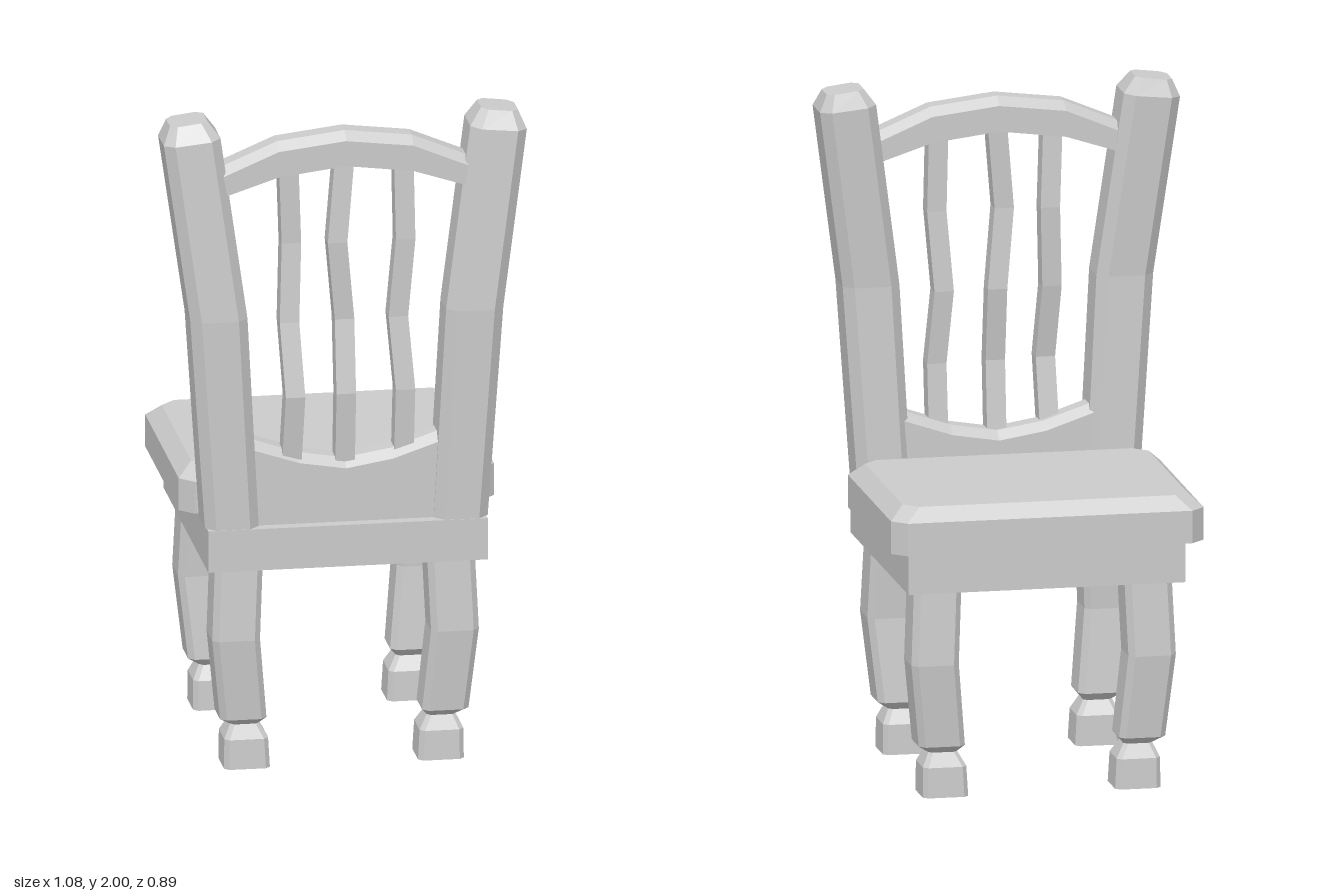
import * as THREE from 'three';

const wood = new THREE.MeshStandardMaterial({ color: 0xcccccc, flatShading: true });
const woodOpen = new THREE.MeshStandardMaterial({ color: 0xcccccc, flatShading: true, side: THREE.DoubleSide });

// Skin a stack of equal-sized rings; the ends are closed with fans
function loft(rings, closeStart = true) {
  const pos = [];
  const tri = (a, b, c) => pos.push(...a, ...b, ...c);
  const n = rings[0].length;
  for (let k = 0; k < rings.length - 1; k++) {
    const p = rings[k], q = rings[k + 1];
    for (let i = 0; i < n; i++) {
      const j = (i + 1) % n;
      tri(p[i], p[j], q[j]);
      tri(p[i], q[j], q[i]);
    }
  }
  const first = rings[0], last = rings[rings.length - 1];
  for (let i = 1; i < n - 1; i++) {
    if (closeStart) first && tri(first[0], first[i + 1], first[i]);
    tri(last[0], last[i], last[i + 1]);
  }
  const g = new THREE.BufferGeometry();
  g.setAttribute('position', new THREE.Float32BufferAttribute(pos, 3));
  g.computeVertexNormals();
  return g;
}

// Horizontal rectangle with cut corners; slope tips the ring along x
function octagon(cx, y, cz, hx, hz, c, slope = 0) {
  const a = hx - c, b = hz - c;
  return [[hx, -b], [hx, b], [a, hz], [-a, hz], [-hx, b], [-hx, -b], [-a, -hz], [a, -hz]]
    .map(([u, v]) => [cx + u, y + slope * u, cz - v]);
}

function rectangle(cx, y, cz, hx, hz) {
  return [[hx, -hz], [hx, hz], [-hx, hz], [-hx, -hz]].map(([u, v]) => [cx + u, y, cz - v]);
}

// Rail running along x, with its two upper edges bevelled
function rail(stations) {
  return loft(stations.map(([x, low, high]) => [
    [x, low, 0.29], [x, high - 0.025, 0.29], [x, high, 0.32],
    [x, high, 0.375], [x, high - 0.025, 0.405], [x, low, 0.405],
  ]));
}

export function createModel() {
  const group = new THREE.Group();
  const add = (name, geometry, material = wood) => {
    const mesh = new THREE.Mesh(geometry, material);
    mesh.name = name;
    group.add(mesh);
  };

  // Apron: a box left open underneath
  add('apron', loft([
    rectangle(0, 0.63, 0.02, 0.415, 0.42),
    rectangle(0, 0.757, 0.02, 0.415, 0.42),
  ], false), woodOpen);

  // Seat with cut corners and a bevelled top edge
  const sz = -0.092;
  add('seat', loft([
    octagon(0, 0.757, sz, 0.468, 0.355, 0.042),
    octagon(0, 0.855, sz, 0.468, 0.355, 0.042),
    octagon(0, 0.895, sz, 0.425, 0.314, 0.042),
  ]));

  // Four bowed legs with a narrow ankle: height, offset in x, offset in z, half width, corner cut
  const legProfile = [
    [0, 0.288, 0.29, 0.068, 0.014],
    [0.09, 0.29, 0.29, 0.065, 0.014],
    [0.132, 0.292, 0.292, 0.043, 0.012],
    [0.155, 0.3, 0.298, 0.069, 0.018],
    [0.405, 0.325, 0.32, 0.071, 0.018],
    [0.635, 0.315, 0.308, 0.071, 0.018],
  ];
  for (const sx of [1, -1]) {
    for (const sign of [1, -1]) {
      const name = (sx > 0 ? 'left' : 'right') + (sign > 0 ? 'BackrestLeg' : 'SeatLeg');
      add(name, loft(legProfile.map(([y, x, z, h, c]) =>
        octagon(sx * x, y, 0.02 + sign * z, h, h, c))));
    }
  }

  // Backrest posts, leaning outwards, with bevelled tops
  for (const s of [1, -1]) {
    add(s > 0 ? 'leftPost' : 'rightPost', loft([
      octagon(s * 0.34, 0.757, 0.352, 0.08, 0.086, 0.03),
      octagon(s * 0.38, 1.4, 0.364, 0.085, 0.083, 0.03),
      octagon(s * 0.455, 1.942, 0.335, 0.084, 0.085, 0.03, -s * 0.1),
      octagon(s * 0.462, 1.992, 0.327, 0.055, 0.057, 0.02, -s * 0.12),
    ]));
  }

  // Arched top rail and dipped lower panel
  add('topRail', rail([
    [-0.39, 1.763, 1.848], [-0.2, 1.825, 1.928], [0, 1.85, 1.952],
    [0.2, 1.825, 1.928], [0.39, 1.763, 1.848],
  ]));
  add('lowerPanel', rail([
    [-0.3, 0.757, 1.022], [-0.14, 0.757, 0.968], [0, 0.757, 0.945],
    [0.14, 0.757, 0.968], [0.3, 0.757, 1.022],
  ]));

  // Three wavy slats: centre x and z at each height
  const heights = [0.92, 1.15, 1.37, 1.61, 1.87];
  const slats = {
    rightSlat: [[-0.16, 0.36], [-0.153, 0.393], [-0.165, 0.355], [-0.157, 0.34], [-0.167, 0.35]],
    middleSlat: [[0, 0.355], [0, 0.378], [0, 0.345], [-0.023, 0.36], [0, 0.35]],
    leftSlat: [[0.175, 0.35], [0.178, 0.365], [0.16, 0.345], [0.18, 0.355], [0.175, 0.35]],
  };
  for (const [name, path] of Object.entries(slats)) {
    add(name, loft(path.map(([x, z], i) => rectangle(x, heights[i], z, 0.029, 0.03))));
  }

  return group;
}
